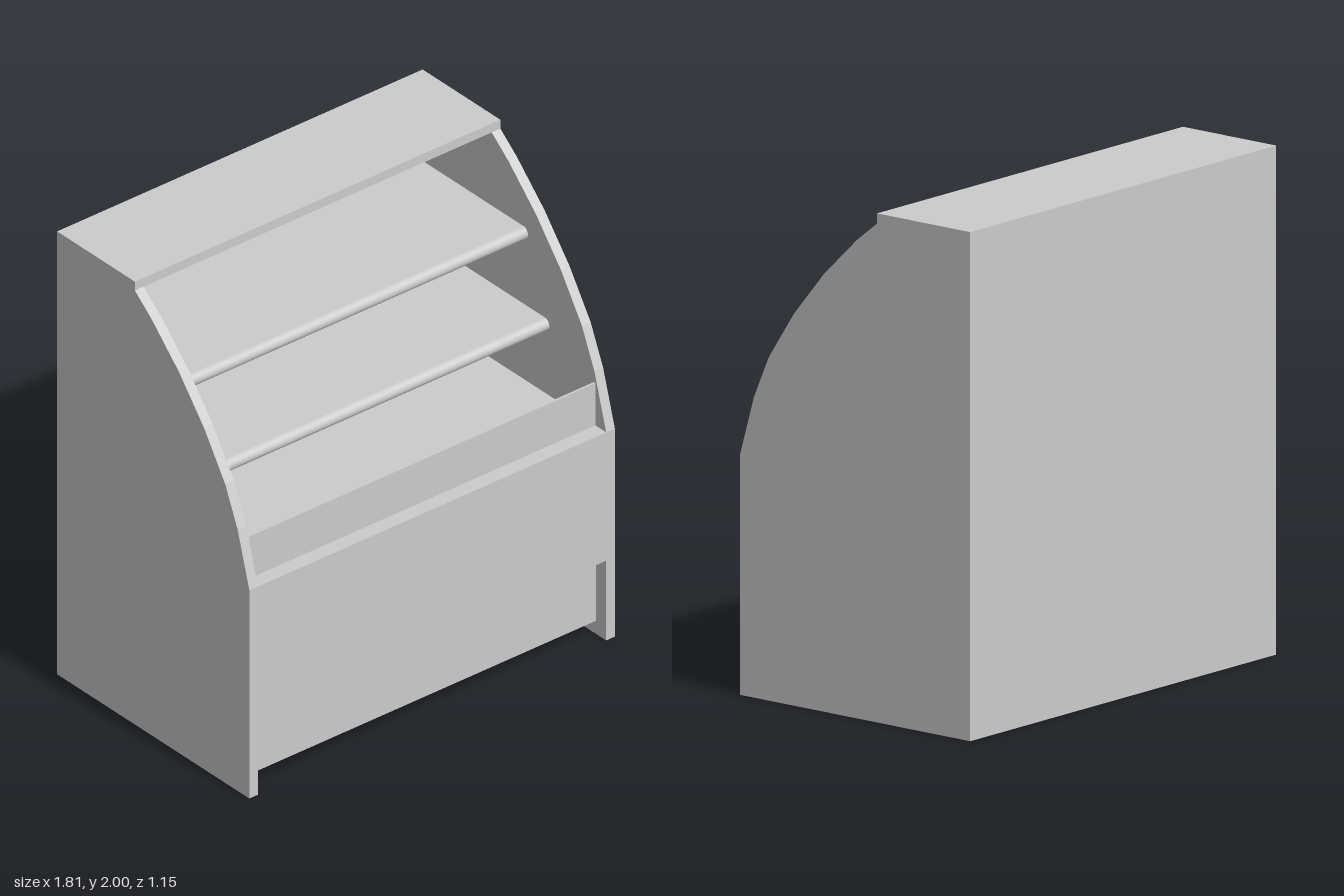
import * as THREE from 'three';

const HALF_W = 0.905, WALL = 0.043, INNER = HALF_W - WALL;
const BACK = -0.575, FRONT = 0.575, INSIDE_BACK = BACK + 0.04;

export function createModel() {
  const group = new THREE.Group();
  const material = new THREE.MeshStandardMaterial({ color: 0xcccccc });

  const add = (name, geometry) => {
    const mesh = new THREE.Mesh(geometry, material);
    mesh.name = name;
    group.add(mesh);
  };

  // Board spanning x0..x1, y0..y1, z0..z1
  const board = (name, halfWidth, y0, y1, z0, z1) => {
    const g = new THREE.BoxGeometry(halfWidth * 2, y1 - y0, z1 - z0);
    g.translate(0, (y0 + y1) / 2, (z0 + z1) / 2);
    add(name, g);
  };

  // Extrude a (z, y) profile sideways from x0 to x1
  const sideways = (name, shape, x0, x1) => {
    const g = new THREE.ExtrudeGeometry(shape, { depth: x1 - x0, bevelEnabled: false, curveSegments: 12 });
    g.rotateY(-Math.PI / 2);
    g.translate(x1, 0, 0);
    add(name, g);
  };

  // Side walls with a faceted, curved front edge
  const profile = new THREE.Shape([
    [BACK, 0], [FRONT, 0], [FRONT, 0.94], [0.505, 1.18], [0.43, 1.35], [0.305, 1.54],
    [0.155, 1.72], [-0.01, 1.88], [-0.11, 1.96], [BACK, 1.96],
  ].map(([z, y]) => new THREE.Vector2(z, y)));
  sideways('leftSide', profile, INNER, HALF_W);
  sideways('rightSide', profile, -HALF_W, -INNER);

  // Carcass
  board('topBoard', HALF_W, 1.96, 2, BACK, -0.11);
  board('backPanel', INNER, 0, 1.96, BACK, INSIDE_BACK);
  board('bottomBoard', INNER, 0.06, 0.1, INSIDE_BACK, 0.475);
  board('kickPlate', INNER, 0.06, 0.4, 0.475, 0.515);
  board('frontPanel', INNER, 0.36, 0.94, 0.515, FRONT);
  board('deck', INNER, 0.9, 0.94, INSIDE_BACK, 0.515);
  board('frontGuard', INNER, 0.94, 1.13, 0.5, 0.51);

  // Shelves with a half-round nose
  const radius = 0.0275;
  [['lowerShelf', 1.2525, 0.235], ['upperShelf', 1.6025, 0.107]].forEach(([name, y, front]) => {
    const s = new THREE.Shape();
    s.moveTo(INSIDE_BACK, y - radius);
    s.lineTo(front - radius, y - radius);
    s.absarc(front - radius, y, radius, -Math.PI / 2, Math.PI / 2, false);
    s.lineTo(INSIDE_BACK, y + radius);
    sideways(name, s, -INNER, INNER);
  });

  return group;
}
